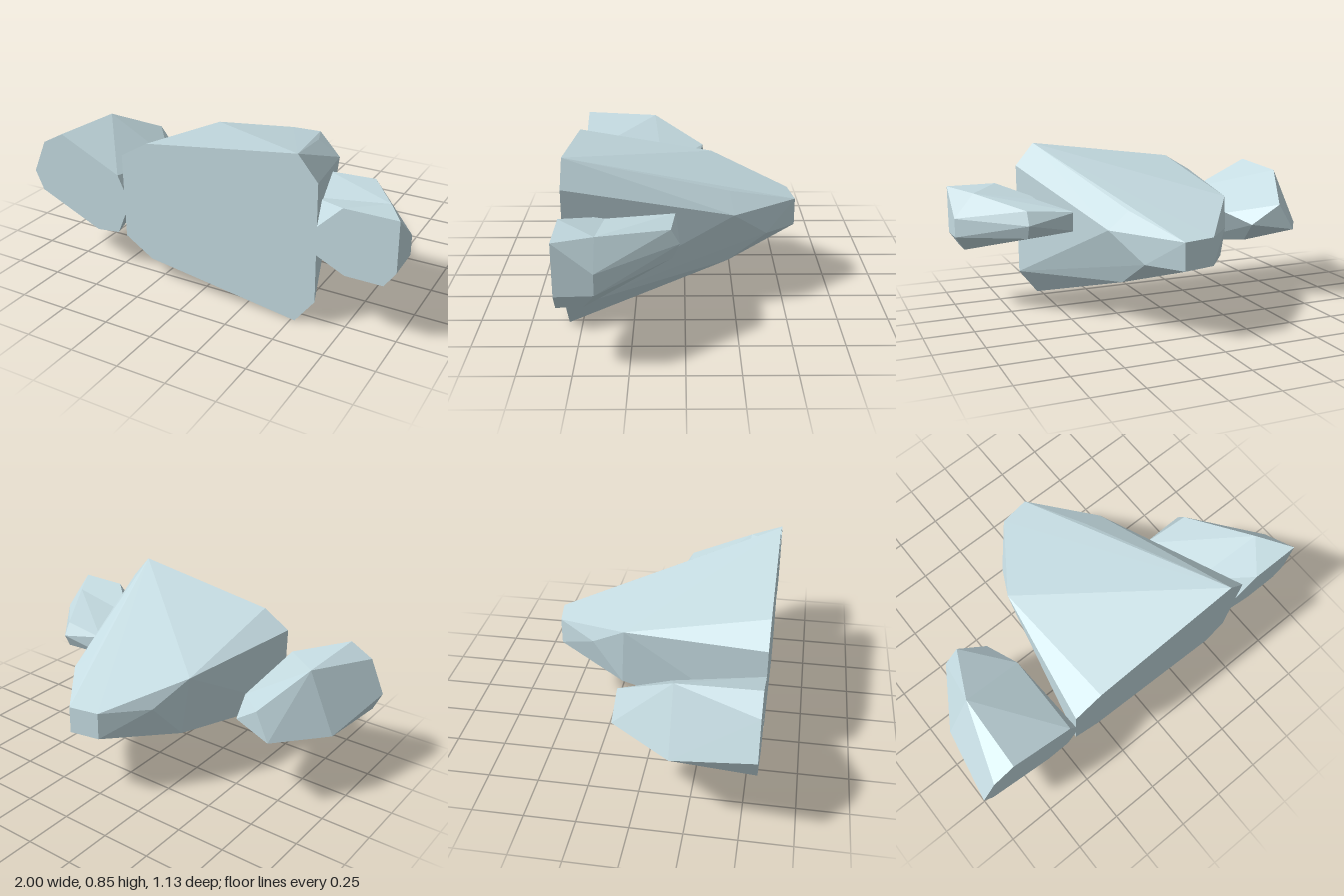
import * as THREE from 'three';
import { ConvexGeometry } from 'three/addons/geometries/ConvexGeometry.js';

const FRONT = 0.565; // plane of the flat cut faces

export function createModel() {
  const group = new THREE.Group();
  const stone = new THREE.MeshStandardMaterial({ color: 0xc5dce2 });
  stone.name = 'paleStone';

  // A faceted rock: hull of a flat front outline [x, y] and back corners [x, y, z]
  function rock(name, outline, back) {
    const pts = [
      ...outline.map(([x, y]) => new THREE.Vector3(x, y, FRONT)),
      ...back.map((p) => new THREE.Vector3(...p)),
    ];
    const mesh = new THREE.Mesh(new ConvexGeometry(pts), stone);
    mesh.name = name;
    group.add(mesh);
  }

  // Large central rock tapering to a blunt tip
  rock('mainRock',
    [[-0.43, 0.65], [-0.28, 0.74], [0.52, 0.85], [0.62, 0.73],
      [0.62, 0.13], [0.52, 0], [-0.28, 0.115], [-0.43, 0.21]],
    [[0.12, 0.49, -0.565], [0.12, 0.35, -0.565],
      [-0.04, 0.495, -0.54], [-0.04, 0.355, -0.54],
      [-0.21, 0.485, -0.33], [-0.3, 0.61, -0.15], [-0.27, 0.3, -0.17],
      [0.265, 0.59, -0.22], [0.38, 0.505, -0.24],
      [0.3, 0.23, -0.215], [0.26, 0.36, -0.41]]);

  // Medium rock on the -x side
  rock('rightRock',
    [[-1, 0.45], [-0.92, 0.625], [-0.8, 0.69], [-0.465, 0.535], [-0.43, 0.46],
      [-0.43, 0.33], [-0.48, 0.215], [-0.61, 0.2], [-0.955, 0.35]],
    [[-0.785, 0.675, 0.17], [-0.93, 0.36, 0.17], [-0.74, 0.39, -0.125],
      [-0.66, 0.53, -0.11], [-0.52, 0.42, -0.06], [-0.455, 0.46, 0.12],
      [-0.56, 0.3, 0.1]]);

  // Small rock on the +x side, its inner end buried in the main rock.
  // A front wedge and a rear wedge meet along this seam, leaving a shallow notch on top.
  const seam = [[0.896, 0.622, 0.39], [0.69, 0.57, 0.39], [0.52, 0.56, 0.37],
    [1, 0.495, 0.39], [1, 0.395, 0.39], [0.945, 0.312, 0.445], [0.57, 0.39, 0.4]];
  rock('leftRockFront',
    [[0.57, 0.47], [0.74, 0.64], [1, 0.64], [1, 0.39], [0.945, 0.31],
      [0.76, 0.31], [0.57, 0.4]],
    seam);
  rock('leftRockRear',
    [[0.945, 0.31], [0.76, 0.31], [0.57, 0.4]],
    [...seam,
      [0.7, 0.57, 0.065], [0.7, 0.5, 0.025], [0.7, 0.43, 0.06],
      [0.45, 0.55, 0.045], [0.45, 0.45, 0.05]]);

  return group;
}
